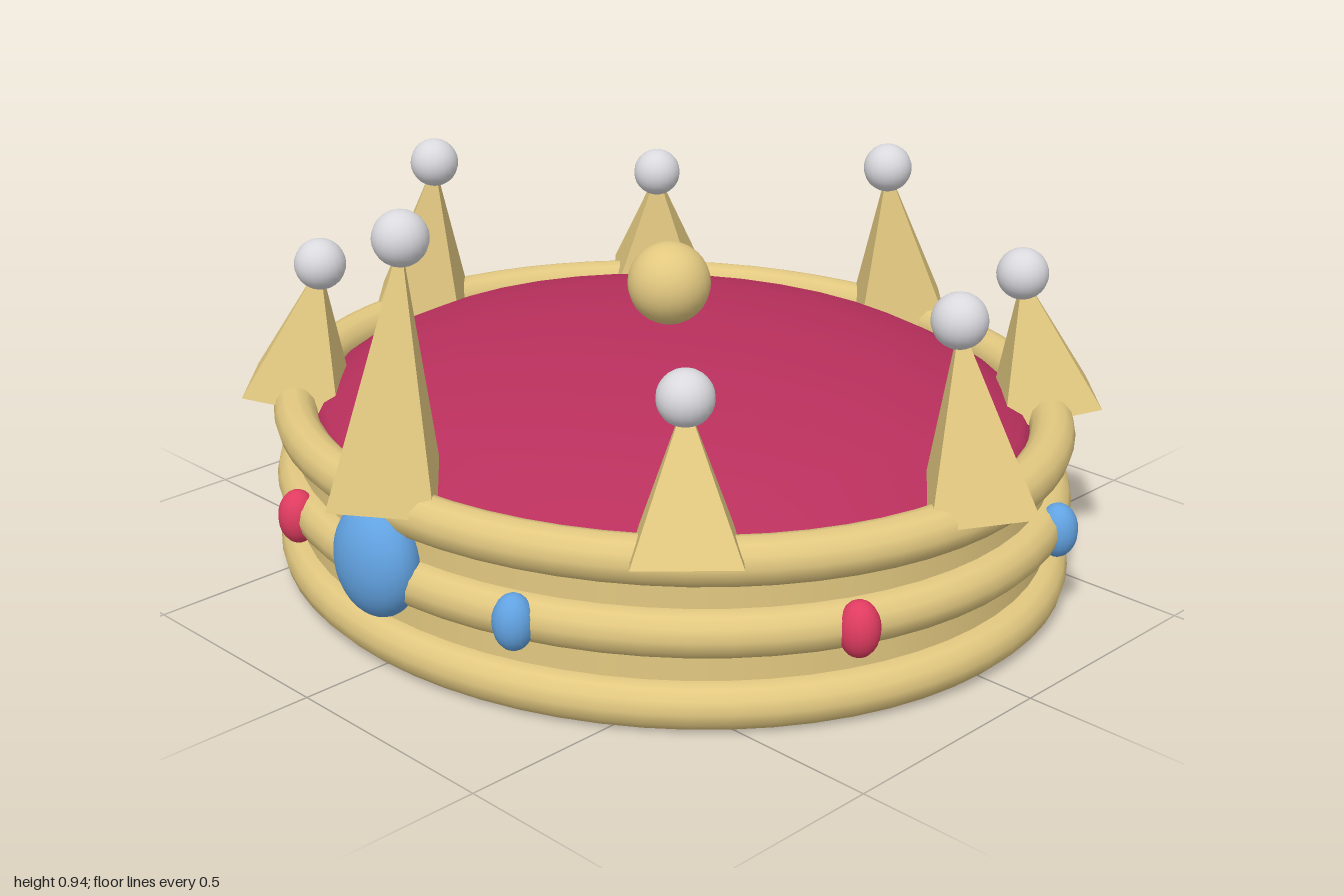
import * as THREE from 'three';

export function createModel() {
  const mat = (name, color, extra = {}) => {
    const m = new THREE.MeshStandardMaterial({ color, ...extra });
    m.name = name;
    return m;
  };
  const gold = mat('gold', 0xe2c880, { side: THREE.DoubleSide });
  const goldFacet = gold.clone(); // same gold, faceted for the spikes
  goldFacet.flatShading = true;
  const velvet = mat('velvet', 0xb9305d);
  const blue = mat('blueGem', 0x62a3e2);
  const red = mat('redGem', 0xe03c60);
  const silver = mat('silver', 0xd9d9de);

  const crown = new THREE.Group();
  crown.name = 'crown';
  const OVAL = 0.92; // the crown is slightly narrower from front to back

  const add = (name, geometry, material, x = 0, y = 0, z = 0) => {
    const mesh = new THREE.Mesh(geometry, material);
    mesh.name = name;
    mesh.position.set(x, y, z);
    crown.add(mesh);
    return mesh;
  };
  // Point on the oval at an angle from the left side towards the front
  const onOval = (r, a, y) => new THREE.Vector3(r * Math.cos(a), y, r * OVAL * Math.sin(a));

  // Thin wall behind three round hoops
  const wall = new THREE.CylinderGeometry(0.853, 0.853, 0.3, 64, 1, true).scale(1, 1, OVAL);
  add('band', wall, gold, 0, 0.2, 0);
  const hoop = new THREE.TorusGeometry(0.853, 0.049, 12, 64).rotateX(Math.PI / 2).scale(1, 1, OVAL);
  [0.05, 0.202, 0.35].forEach((y) => add('hoop', hoop, gold, 0, y, 0));

  // Plump cushion and the ball on top of it
  const cushion = new THREE.SphereGeometry(1, 40, 10).scale(0.83, 0.21, 0.83 * OVAL);
  add('cushion', cushion, velvet, 0, 0.3, 0);
  add('topBall', new THREE.SphereGeometry(0.09, 24, 16), gold, 0, 0.618, 0);

  // Eight spikes leaning inwards, each ending in a silver ball
  const up = new THREE.Vector3(0, 1, 0);
  const ball = new THREE.SphereGeometry(0.056, 20, 14);
  for (let i = 0; i < 8; i++) {
    const a = (i * Math.PI) / 4;
    const tipY = i === 2 ? 0.88 : i % 2 ? 0.65 : 0.73;
    const base = onOval(0.853, a, 0.356);
    const tip = onOval(0.785, a, tipY);
    const dir = tip.clone().sub(base);
    const height = dir.length();
    const mid = base.clone().lerp(tip, 0.5);
    const spike = add('spike', new THREE.ConeGeometry(0.149, height, 4), goldFacet, mid.x, mid.y, mid.z);
    spike.quaternion.setFromUnitVectors(up, dir.normalize());
    add('spikeBall', ball, silver, tip.x, tip.y, tip.z);
  }

  // Small gems of alternating colour around the middle hoop
  const gem = new THREE.SphereGeometry(0.042, 16, 12).scale(1, 1.4, 1);
  for (let i = 0; i < 8; i++) {
    const p = onOval(0.89, ((i + 0.5) * Math.PI) / 4, 0.202);
    add('smallGem', gem, i % 2 ? blue : red, p.x, p.y, p.z);
  }

  // Large oval gem at the front
  add('frontGem', new THREE.SphereGeometry(1, 28, 20).scale(0.105, 0.122, 0.073), blue, 0, 0.239, 0.813);

  return crown;
}
